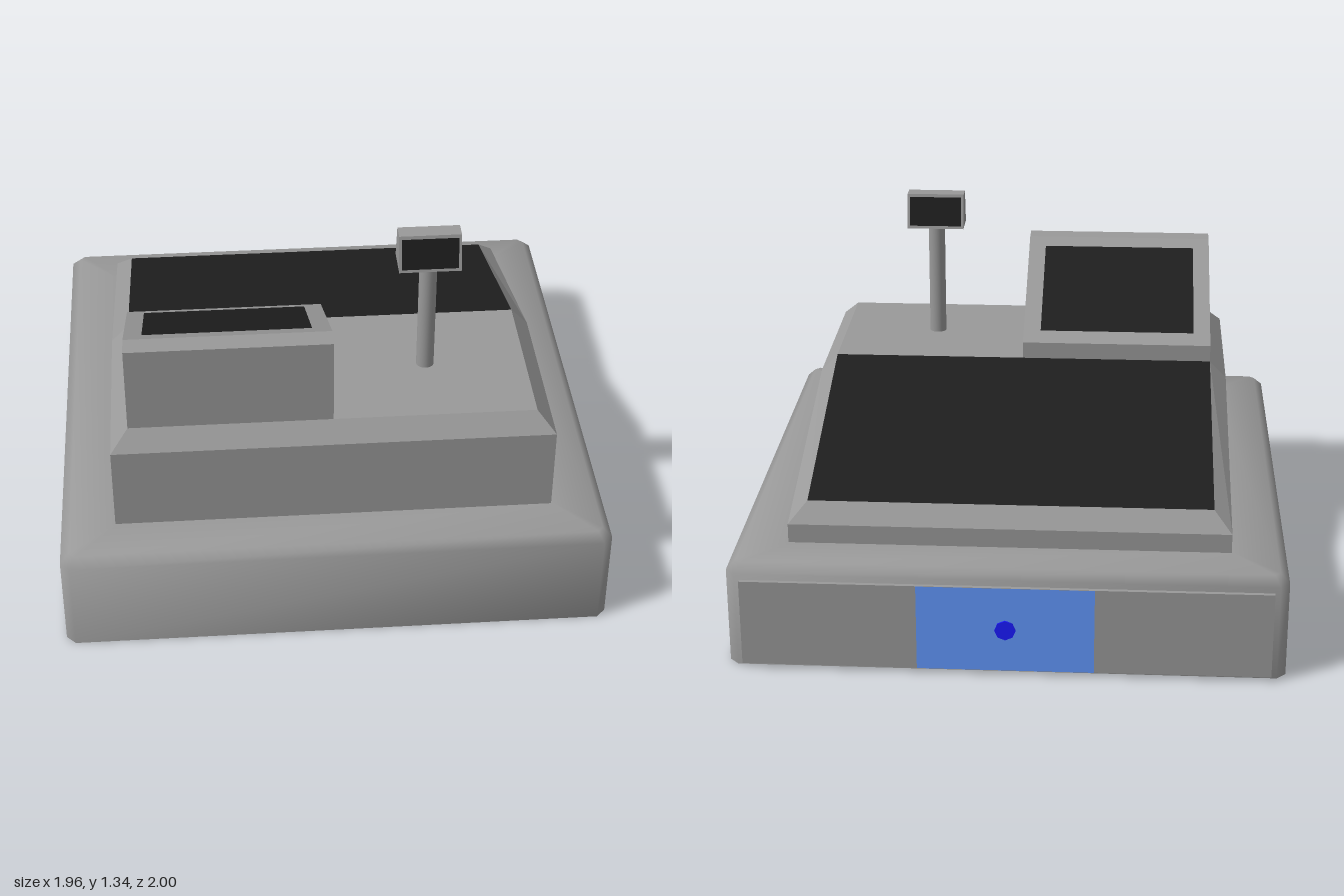
import * as THREE from 'three';

const grey = new THREE.MeshStandardMaterial({ color: 0x999999 });
const greyFlat = new THREE.MeshStandardMaterial({ color: 0x999999, flatShading: true });
const black = new THREE.MeshStandardMaterial({ color: 0x1e1e1e });
const blue = new THREE.MeshStandardMaterial({ color: 0x6297fb });
const darkBlue = new THREE.MeshStandardMaterial({ color: 0x1a1aff });

// Skin between equal-length rings (counterclockwise from above), with optional end caps
function loft(rings, { top = true, bottom = true } = {}) {
  const n = rings[0].length;
  const last = (rings.length - 1) * n;
  const index = [];
  for (let r = 0; r < rings.length - 1; r++) {
    for (let j = 0; j < n; j++) {
      const a = r * n + j, b = r * n + (j + 1) % n;
      index.push(a, b, b + n, a, b + n, a + n);
    }
  }
  for (let j = 1; j < n - 1; j++) {
    if (top) index.push(last, last + j, last + j + 1);
    if (bottom) index.push(0, j + 1, j);
  }
  const g = new THREE.BufferGeometry();
  g.setAttribute('position', new THREE.Float32BufferAttribute(rings.flat(2), 3));
  g.setIndex(index);
  g.computeVertexNormals();
  return g;
}

// Flat polygon, corners counterclockwise as seen from its face
function polygon(corners) {
  return loft([corners], { bottom: false });
}

// Horizontal rectangle ring
function rect(x0, x1, y, zFront, zBack) {
  return [[x1, y, zFront], [x1, y, zBack], [x0, y, zBack], [x0, y, zFront]];
}

// Horizontal rectangle ring with cut corners
function cutRect(hx, y, zf, zb, c) {
  return [
    [hx - c, y, zf], [hx, y, zf - c], [hx, y, zb + c], [hx - c, y, zb],
    [c - hx, y, zb], [-hx, y, zb + c], [-hx, y, zf - c], [c - hx, y, zf],
  ];
}

// Softly rounded shading for a stack of cut rectangles: one upward tilt (degrees) per ring
function softenNormals(geometry, tilts) {
  const normal = geometry.attributes.normal;
  for (let i = 0; i < normal.count; i++) {
    const tilt = THREE.MathUtils.degToRad(tilts[Math.floor(i / 8)]);
    const turn = THREE.MathUtils.degToRad(67.5 - 45 * (i % 8));
    normal.setXYZ(i, Math.cos(tilt) * Math.cos(turn), Math.sin(tilt), Math.cos(tilt) * Math.sin(turn));
  }
  return geometry;
}

export function createModel() {
  const group = new THREE.Group();
  const add = (name, geometry, material, parent = group) => {
    const m = new THREE.Mesh(geometry, material);
    m.name = name;
    parent.add(m);
    return m;
  };
  const box = (name, x0, x1, y0, y1, z0, z1, material, parent) => {
    const m = add(name, new THREE.BoxGeometry(x1 - x0, y1 - y0, z1 - z0), material, parent);
    m.position.set((x0 + x1) / 2, (y0 + y1) / 2, (z0 + z1) / 2);
  };

  // Base with softened top and corner edges
  const foot = cutRect(0.98, 0, 1, -0.965, 0.033);
  add('base', softenNormals(loft([
    foot,
    cutRect(0.98, 0.353, 1, -0.965, 0.033),
    cutRect(0.948, 0.385, 0.968, -0.933, 0.02),
    cutRect(0.78, 0.385, 0.8, -0.765, 0.01),
  ], { top: false, bottom: false }), [0, 22.5, 67.5, 90]), grey);
  add('baseUnderside', polygon(foot.reverse()), grey);

  // Wedge body: level at the front, sloping down to the back, bevelled all round
  const bodyRing = (hx, zf, zb, yHigh, yLow) => [
    [hx, yHigh, zf], [hx, yHigh, 0.125], [hx, yLow, zb],
    [-hx, yLow, zb], [-hx, yHigh, 0.125], [-hx, yHigh, zf],
  ];
  const rim = bodyRing(0.722, 0.742, -0.703, 0.767, 0.52);
  add('body', loft([
    bodyRing(0.785, 0.805, -0.768, 0.38, 0.38),
    bodyRing(0.785, 0.805, -0.768, 0.702, 0.455),
    rim,
  ], { top: false }), greyFlat);
  add('bodyTop', polygon([rim[0], rim[1], rim[4], rim[5]]), greyFlat);
  add('keyPanel', polygon(rim.slice(1, 5)), black);

  // Operator monitor: side profile extruded across its width
  const monitor = new THREE.Group();
  monitor.name = 'monitor';
  group.add(monitor);
  const profile = new THREE.Shape([
    [-0.742, 0.765], [-0.125, 0.765], [-0.125, 0.83], [-0.665, 1.092], [-0.742, 1.092],
  ].map(([x, y]) => new THREE.Vector2(x, y)));
  const housing = add('monitorHousing',
    new THREE.ExtrudeGeometry(profile, { depth: 0.722, bevelEnabled: false }), greyFlat, monitor);
  housing.rotation.y = Math.PI / 2;
  housing.position.x = -0.722;
  const slopeY = (z) => 0.834 + (z - 0.125) * (0.262 / 0.54);
  add('monitorScreen', polygon([
    [-0.066, slopeY(0.61), 0.61], [-0.066, slopeY(0.18), 0.18],
    [-0.658, slopeY(0.18), 0.18], [-0.658, slopeY(0.61), 0.61],
  ]), black, monitor);

  // Pole display with a screen on both sides
  const display = new THREE.Group();
  display.name = 'poleDisplay';
  display.position.set(0.357, 0, 0.434);
  group.add(display);
  add('pole', new THREE.CylinderGeometry(0.032, 0.032, 0.45, 24), grey, display).position.y = 0.987;
  add('displayHead', loft([
    rect(-0.11, 0.11, 1.206, 0.062, -0.062),
    rect(-0.11, 0.11, 1.337, 0.03, -0.03),
  ]), greyFlat, display);
  const faceZ = (y) => 0.064 - (y - 1.206) * (0.032 / 0.131);
  for (const s of [1, -1]) {
    add(s > 0 ? 'customerScreen' : 'operatorScreen', polygon([
      [-0.1 * s, 1.217, faceZ(1.217) * s], [0.1 * s, 1.217, faceZ(1.217) * s],
      [0.1 * s, 1.326, faceZ(1.326) * s], [-0.1 * s, 1.326, faceZ(1.326) * s],
    ]), black, display);
  }

  // Cash drawer at the back with a coloured centre patch and a lock
  const drawer = new THREE.Group();
  drawer.name = 'drawer';
  group.add(drawer);
  box('drawerBody', -0.91, 0.91, 0.035, 0.315, -0.978, -0.95, grey, drawer);
  box('drawerFront', -0.927, 0.927, 0.018, 0.337, -0.992, -0.977, grey, drawer);
  add('drawerPatch', polygon([
    [0.31, 0.018, -0.994], [-0.31, 0.018, -0.994], [-0.31, 0.337, -0.994], [0.31, 0.337, -0.994],
  ]), blue, drawer);
  const lock = add('drawerLock', new THREE.CylinderGeometry(0.037, 0.037, 0.015, 8), darkBlue, drawer);
  lock.rotation.x = Math.PI / 2;
  lock.position.set(0, 0.177, -0.9925);

  return group;
}
